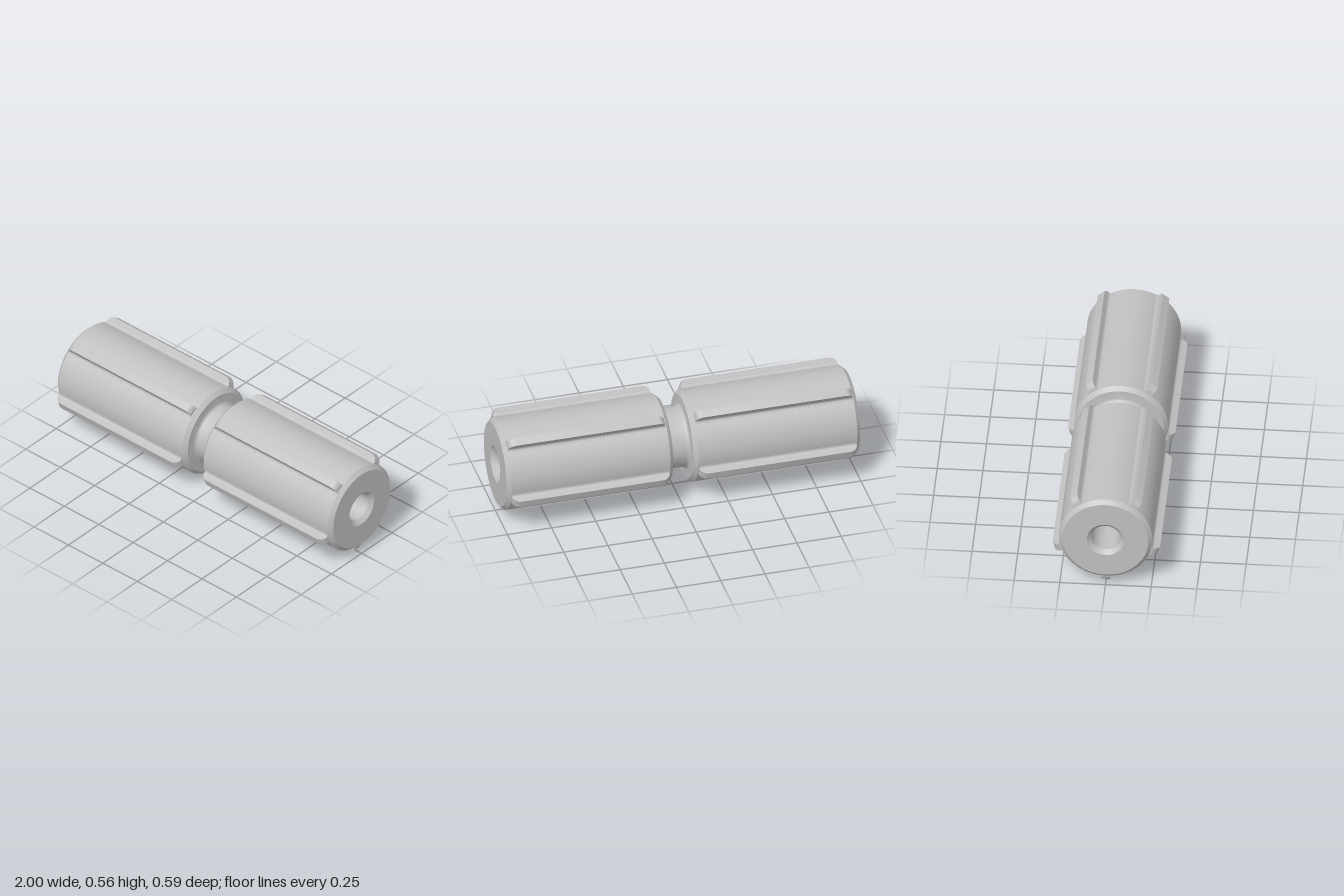
import * as THREE from 'three';
import { toCreasedNormals } from 'three/addons/utils/BufferGeometryUtils.js';

const AXIS_Y = 0.302, R = 0.256, RIB_R = 0.302;

// Turned body: outer profile from -x to +x, then back through the bore
function bodyGeometry() {
  const neckR = 0.168, fillet = 0.02, chamfer = 0.022, inner = 0.057;
  const half = [];
  for (let i = 0; i <= 6; i++) {
    const a = (i / 6) * Math.PI / 2;
    half.push([neckR + fillet * (1 - Math.cos(a)), inner - fillet + fillet * Math.sin(a)]);
  }
  half.push([R - chamfer, inner], [R, inner + chamfer], [R, 1 - chamfer], [R - chamfer, 1],
    [0.102, 1], [0.079, 1 - chamfer]);
  const mirrored = half.map(([r, x]) => [r, -x]).reverse();
  const loop = [...mirrored, ...half, mirrored[0]];
  const geo = new THREE.LatheGeometry(loop.map(([r, x]) => new THREE.Vector2(r, x)), 96);
  geo.rotateZ(-Math.PI / 2);
  return toCreasedNormals(geo, 0.5);
}

// Rib: stacked rectangles, flared at the root and rounded at both end corners
function ribGeometry() {
  const halfW = 0.0225, f = 0.015, rootR = 0.269, corner = 0.045, halfL = 0.445;
  const cornerR = RIB_R - corner;
  const width = r => {
    const d = Math.min(f, Math.max(0, rootR - r));
    return halfW + f - Math.sqrt(f * f - d * d);
  };
  const length = r => {
    const d = Math.min(corner, Math.max(0, r - cornerR));
    return halfL - corner + Math.sqrt(corner * corner - d * d);
  };
  const levels = [0.24];
  for (let i = 0; i <= 6; i++) levels.push(rootR - f * Math.cos((i / 6) * Math.PI / 2));
  for (let i = 1; i <= 10; i++) levels.push(cornerR + corner * Math.sin((i / 10) * Math.PI / 2));
  levels.sort((a, b) => a - b);

  const pos = [], index = [];
  levels.forEach((r, i) => {
    const w = width(r), l = length(r);
    pos.push(-l, r, w, l, r, w, l, r, -w, -l, r, -w);
    if (i === 0) return;
    const lo = (i - 1) * 4, hi = i * 4;
    for (let k = 0; k < 4; k++) {
      const n = (k + 1) % 4;
      index.push(lo + k, lo + n, hi + n, lo + k, hi + n, hi + k);
    }
  });
  const top = (levels.length - 1) * 4;
  index.push(top, top + 1, top + 2, top, top + 2, top + 3);
  const geo = new THREE.BufferGeometry();
  geo.setAttribute('position', new THREE.Float32BufferAttribute(pos, 3));
  geo.setIndex(index);
  return toCreasedNormals(geo, 0.5);
}

export function createModel() {
  const metal = new THREE.MeshStandardMaterial({ color: 0xc0c0c0 });
  metal.name = 'light grey';

  const model = new THREE.Group();
  model.name = 'splinedShaft';

  const body = new THREE.Mesh(bodyGeometry(), metal);
  body.name = 'body';
  body.position.y = AXIS_Y;
  model.add(body);

  // Five ribs around each drum, the first pointing straight down
  const rib = ribGeometry();
  for (const side of [-1, 1]) {
    const ribs = new THREE.Group();
    ribs.name = side > 0 ? 'leftRibs' : 'rightRibs';
    ribs.position.set(side * 0.53, AXIS_Y, 0);
    for (let i = 0; i < 5; i++) {
      const mesh = new THREE.Mesh(rib, metal);
      mesh.name = 'rib';
      mesh.rotation.x = Math.PI + (i * Math.PI * 2) / 5;
      ribs.add(mesh);
    }
    model.add(ribs);
  }
  return model;
}
